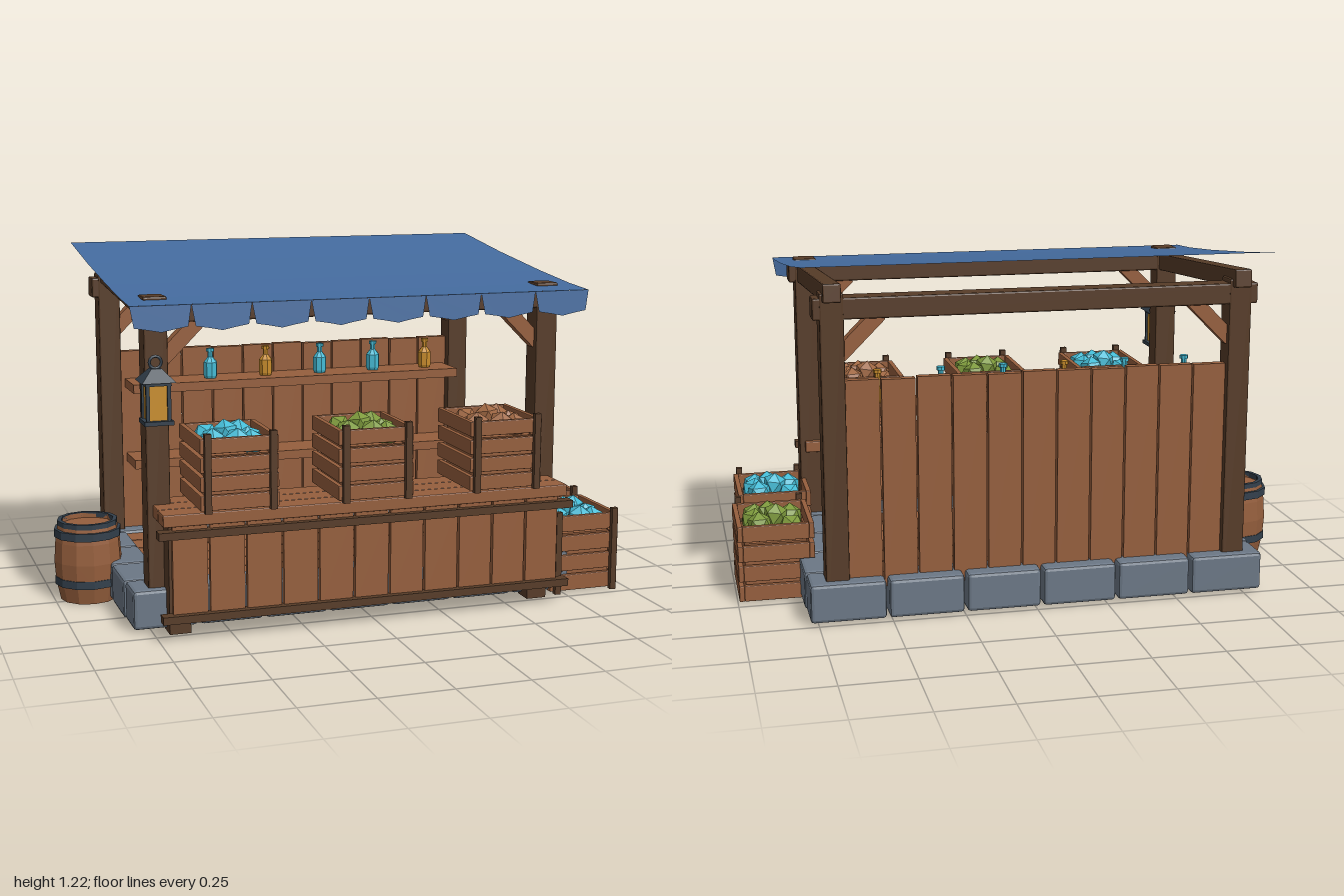
import * as THREE from 'three';
import { RoundedBoxGeometry } from 'three/addons/geometries/RoundedBoxGeometry.js';

const CX = -0.0175; // middle of the stall frame

export function createModel() {
  const root = new THREE.Group();
  root.name = 'marketStall';
  const mat = (name, color, side = THREE.FrontSide) => {
    const m = new THREE.MeshStandardMaterial({ color, side });
    m.name = name;
    return m;
  };
  const wood = mat('light wood', 0x965f3d);
  const dark = mat('dark wood', 0x573c28);
  const stone = mat('stone', 0x6c7886);
  const slate = mat('dark iron', 0x33404c);
  const cloth = mat('blue cloth', 0x446b9e, THREE.DoubleSide);
  const cyan = mat('cyan', 0x45bcd6);
  const amber = mat('amber', 0xc98d2b);
  const green = mat('green', 0x7d993c);
  const tuber = mat('tuber brown', 0xa06843);

  const flat = (g) => {
    const n = g.index ? g.toNonIndexed() : g;
    n.computeVertexNormals();
    return n;
  };
  const add = (parent, name, geo, material, x = 0, y = 0, z = 0) => {
    const m = new THREE.Mesh(geo, material);
    m.name = name;
    m.position.set(x, y, z);
    parent.add(m);
    return m;
  };
  const box = (parent, name, material, w, h, d, x, y, z, bevel = 0) =>
    add(parent, name, bevel ? flat(new RoundedBoxGeometry(w, h, d, 1, bevel)) : new THREE.BoxGeometry(w, h, d),
      material, x, y, z);
  const group = (name, x = 0, y = 0, z = 0, parent = root) => {
    const g = new THREE.Group();
    g.name = name;
    g.position.set(x, y, z);
    parent.add(g);
    return g;
  };
  const lathe = (pts, n) => flat(new THREE.LatheGeometry(pts.map(([r, y]) => new THREE.Vector2(r, y)), n));

  // Stone footing ring
  const footing = group('stoneFooting', CX);
  const stoneRow = (n, len, place) => {
    for (let i = 0; i < n; i++) place((i + 0.5) * len / n - len / 2, len / n - 0.01);
  };
  stoneRow(6, 1.6, (x, w) => box(footing, 'backStone', stone, w, 0.135, 0.14, x, 0.078, -0.43, 0.012));
  stoneRow(7, 1.6, (x, w) => box(footing, 'frontStone', stone, w, 0.135, 0.14, x, 0.078, 0.37, 0.012));
  for (const s of [-1, 1]) {
    stoneRow(3, 0.66, (z, d) => box(footing, 'sideStone', stone, 0.14, 0.135, d, s * 0.73, 0.078, z - 0.03, 0.012));
  }

  // Floor boards
  const floor = group('floor', CX);
  for (let i = 0; i < 6; i++) box(floor, 'floorBoard', wood, 1.34, 0.025, 0.108, 0, 0.12, -0.315 + i * 0.114);

  // Frame: posts, cross beams, sloping side beams, knee braces
  const frame = group('frame', CX);
  for (const z of [0.372, -0.425]) {
    box(frame, 'crossBeam', dark, 1.52, 0.072, 0.078, 0, 1.066, z, 0.006);
    for (const s of [-1, 1]) {
      box(frame, 'post', dark, 0.08, 1.108, 0.082, s * 0.6975, 0.563, z, 0.006);
      box(frame, 'kneeBrace', wood, 0.05, 0.19, 0.045, s * 0.605, 0.975, z).rotation.z = s * Math.PI / 4;
    }
  }
  for (const s of [-1, 1]) {
    box(frame, 'sideBeam', dark, 0.06, 0.062, 0.91, s * 0.6975, 1.088, -0.035, 0.005).rotation.x = 0.073;
  }

  // Back wall
  const wall = group('backWall', CX);
  for (let i = 0; i < 11; i++) {
    box(wall, 'wallPlank', wood, 0.113, 0.715 + (i % 3) * 0.004, 0.03, (i - 5) * 0.12, 0.465, -0.43);
  }

  // Shelves
  for (const y of [0.42, 0.703]) box(root, 'shelf', wood, 1.28, 0.033, 0.16, CX, y, -0.33);

  // Bottles
  const bottleGeo = lathe([[0, 0], [0.022, 0], [0.026, 0.01], [0.026, 0.06], [0.01, 0.08], [0.01, 0.1],
    [0.015, 0.1], [0.015, 0.112], [0, 0.112]], 8);
  [cyan, cyan, amber, cyan, cyan, amber].forEach((m, i) =>
    add(root, 'bottle', bottleGeo, m, -0.565 + i * 0.216, 0.72, -0.325));

  // Counter
  const counter = group('counter', CX);
  for (let i = 0; i < 3; i++) box(counter, 'counterTopBoard', wood, 1.435, 0.042, 0.082, 0, 0.407, 0.353 + i * 0.085, 0.004);
  for (let i = 0; i < 11; i++) box(counter, 'frontPlank', wood, 0.117, 0.315, 0.02, (i - 5) * 0.1255, 0.228, 0.545);
  box(counter, 'upperTrim', dark, 1.47, 0.026, 0.042, 0, 0.36, 0.557);
  box(counter, 'lowerTrim', dark, 1.45, 0.026, 0.042, 0, 0.078, 0.557);
  for (const s of [-1, 1]) box(counter, 'counterLeg', dark, 0.072, 0.385, 0.075, s * 0.6475, 0.193, 0.447);
  for (const y of [0.36, 0.09]) for (const s of [-1, 1]) {
    box(counter, 'panelRail', dark, 0.04, 0.03, 0.06, s * 0.6475, y, 0.51);
  }

  // Crates with produce
  const lumpGeo = new THREE.IcosahedronGeometry(0.046, 0);
  const crate = (name, x, y, z, h, produce) => {
    const g = group(name, x, y, z);
    const W = 0.265, D = 0.295, T = 0.018, pitch = h / 4, sh = pitch * 0.8;
    for (let i = 0; i < 4; i++) {
      const sy = 0.006 + i * pitch + sh / 2;
      for (const s of [-1, 1]) {
        box(g, 'sideSlat', wood, T, sh, D, s * (W - T) / 2, sy, 0, 0.003);
        box(g, 'endSlat', wood, W - 2 * T, sh, T, 0, sy, s * (D - T) / 2, 0.003);
      }
    }
    for (const s of [-1, 1]) {
      box(g, 'cratePost', dark, 0.022, h + 0.012, 0.02, s * 0.11, h / 2 + 0.006, D / 2 + 0.008);
    }
    box(g, 'crateFill', wood, W - 0.05, h * 0.72, D - 0.05, 0, h * 0.37, 0);
    [[-0.06, 0, -0.07], [0.05, 0.01, -0.06], [-0.01, 0.022, 0], [0.065, 0, 0.02], [-0.065, 0.005, 0.04],
      [0.01, 0.008, 0.075], [0.06, 0, 0.08]].forEach(([lx, ly, lz], i) => {
      add(g, 'produce', lumpGeo, produce, lx, h - 0.04 + ly, lz).rotation.set(i * 1.3, i * 0.9, i * 0.5);
    });
    return g;
  };
  crate('counterCrate', -0.48, 0.428, 0.427, 0.25, cyan);
  crate('counterCrate', -0.01, 0.428, 0.427, 0.25, green);
  crate('counterCrate', 0.46, 0.428, 0.427, 0.25, tuber);
  crate('floorCrate', 0.833, 0, 0.305, 0.29, cyan);
  crate('floorCrate', 0.862, 0, -0.07, 0.285, green);

  // Barrel
  const barrel = group('barrel', -0.878, 0, -0.035);
  add(barrel, 'barrelBody', lathe([[0, 0], [0.1, 0], [0.115, 0.07], [0.12, 0.143], [0.115, 0.215], [0.104, 0.285],
    [0.092, 0.285], [0.092, 0.268], [0, 0.268]], 12), wood);
  for (const [y, r] of [[0.058, 0.117], [0.23, 0.117]]) {
    add(barrel, 'barrelHoop', flat(new THREE.CylinderGeometry(r + 0.002, r + 0.002, 0.028, 12)), slate, 0, y + 0.014, 0);
  }
  add(barrel, 'barrelRim', lathe([[0.092, 0.27], [0.107, 0.27], [0.107, 0.288], [0.092, 0.288], [0.092, 0.27]], 12), slate);

  // Hanging lantern
  const lantern = group('lantern', -0.727, 0.71, 0.457);
  box(lantern, 'lanternBase', slate, 0.096, 0.014, 0.096, 0, 0.007, 0);
  box(lantern, 'lanternGlass', amber, 0.068, 0.115, 0.068, 0, 0.072, 0);
  box(lantern, 'lanternCap', slate, 0.086, 0.012, 0.086, 0, 0.134, 0);
  for (const sx of [-1, 1]) for (const sz of [-1, 1]) {
    box(lantern, 'lanternBar', slate, 0.012, 0.125, 0.012, sx * 0.035, 0.072, sz * 0.035);
  }
  add(lantern, 'lanternRoof', flat(new THREE.CylinderGeometry(0.024, 0.08, 0.042, 4)), slate, 0, 0.16, 0).rotation.y = Math.PI / 4;
  add(lantern, 'lanternRing', new THREE.TorusGeometry(0.02, 0.005, 6, 12), slate, 0, 0.2, 0);

  // Cloth awning: a sheet with a gentle sag, and a scalloped valance
  const rows = [[0.515, 1.1], [0.37, 1.109], [0.13, 1.132], [-0.22, 1.172], [-0.575, 1.22]];
  const sheet = new THREE.PlaneGeometry(1.605, 1, 1, rows.length - 1);
  const p = sheet.attributes.position;
  for (let i = 0; i < p.count; i++) {
    const [z, y] = rows[rows.length - 1 - Math.floor(i / 2)];
    p.setXYZ(i, p.getX(i), y, z);
  }
  add(root, 'awning', flat(sheet), cloth, CX);

  const scallop = new THREE.Shape([[-0.1003, 0], [-0.088, -0.07], [-0.045, -0.077], [0, -0.086], [0.045, -0.077],
    [0.088, -0.07], [0.1003, 0]].map(([x, y]) => new THREE.Vector2(x, y)));
  const scallopGeo = new THREE.ShapeGeometry(scallop);
  for (let i = 0; i < 8; i++) {
    add(root, 'valance', scallopGeo, cloth, CX + (i - 3.5) * 0.2006, 1.1, 0.516).rotation.x = -0.08;
  }
  return root;
}
